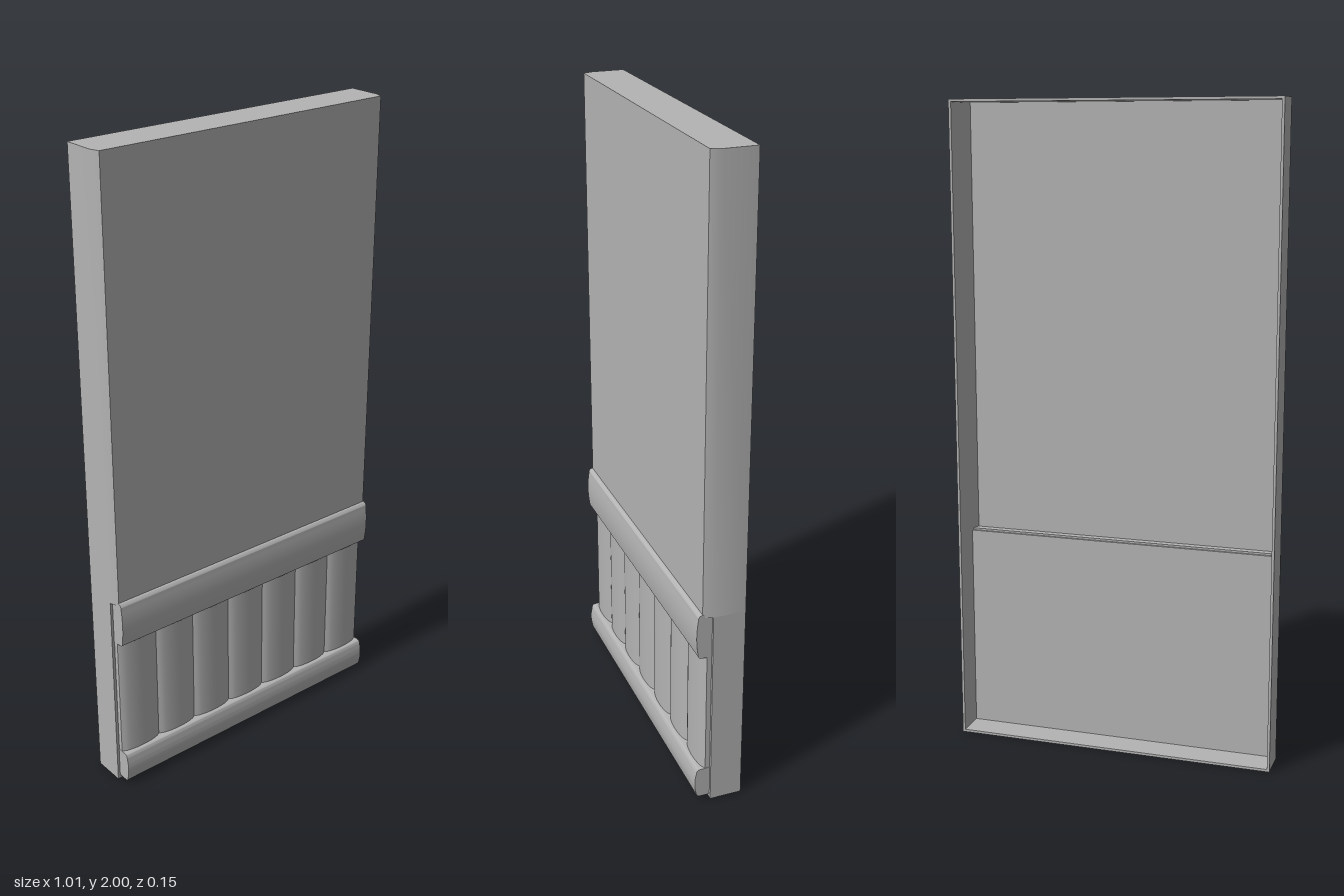
import * as THREE from 'three';
import { toCreasedNormals } from 'three/addons/utils/BufferGeometryUtils.js';

const HALF = 0.505, BACK = -0.075, SHOULDER = 0.025, WALL = 0.008;
const SPLIT = 0.65; // height where the raised upper panel begins

export function createModel() {
  const group = new THREE.Group();
  const grey = new THREE.MeshStandardMaterial({ color: 0xb4b4b4 });
  grey.name = 'plain grey';

  const add = (name, geometry, x = 0, y = 0, z = 0) => {
    const mesh = new THREE.Mesh(geometry, grey);
    mesh.name = name;
    mesh.position.set(x, y, z);
    group.add(mesh);
  };

  // Plan outline given as [x, z], extruded upwards from y0 to y1
  const upright = (points, y0, y1) => {
    const shape = new THREE.Shape(points.map(([x, z]) => new THREE.Vector2(x, -z)));
    const g = new THREE.ExtrudeGeometry(shape, { depth: y1 - y0, bevelEnabled: false });
    return toCreasedNormals(g.rotateX(-Math.PI / 2).translate(0, y0, 0), 0.6);
  };

  // Half of the plan outline, from the back edge to the front face
  const side = (front, inset) => {
    const pts = [[HALF - inset, BACK], [HALF - inset, SHOULDER - inset]];
    if (front > SHOULDER + 0.01) pts.push([HALF - 0.01 - inset, front - inset]);
    return pts;
  };
  const mirrored = (pts) => pts.map(([x, z]) => [-x, z]).reverse();
  const whole = (pts) => [...pts, ...mirrored(pts)];

  // Hollow shells, open at the back
  const shell = (front) => [...whole(side(front, 0)), ...whole(side(front, WALL)).reverse()];
  add('lowerPanel', upright(shell(SHOULDER), 0, SPLIT));
  add('upperPanel', upright(shell(0.055), SPLIT, 2));

  // End walls and the step between the two panel depths
  add('topWall', upright(whole(side(0.055, 0)), 2 - WALL, 2));
  add('bottomWall', upright(whole(side(SHOULDER, 0)), 0, WALL));
  add('panelStep', new THREE.BoxGeometry(0.99, WALL, 0.036), 0, SPLIT, 0.034);

  // Row of vertical boards with gently rounded fronts
  const count = 7, width = 0.992 / count;
  const board = [[-width / 2, SHOULDER - 0.002]];
  for (let i = 0; i <= 12; i++) {
    const t = i / 6 - 1;
    board.push([t * width / 2, 0.036 + 0.018 * Math.sqrt(1 - 0.96 * t * t)]);
  }
  board.push([width / 2, SHOULDER - 0.002]);
  const boardGeometry = upright(board, 0.1, 0.53);
  for (let i = 0; i < count; i++) {
    add('board' + (i + 1), boardGeometry, (i - (count - 1) / 2) * width);
  }

  // Horizontal rails with a softly bowed face and rounded corners
  const rail = (y0, y1) => {
    const s = new THREE.Shape();
    const r = 0.014, z = 0.068, mid = (y0 + y1) / 2;
    s.moveTo(SHOULDER - 0.002, y0);
    s.lineTo(z - r, y0);
    s.quadraticCurveTo(z, y0, z, y0 + r);
    s.quadraticCurveTo(0.078, mid, z, y1 - r);
    s.quadraticCurveTo(z, y1, z - r, y1);
    s.lineTo(SHOULDER - 0.002, y1);
    const g = new THREE.ExtrudeGeometry(s, { depth: 0.994, bevelEnabled: false, curveSegments: 10 });
    return toCreasedNormals(g.translate(0, 0, -0.497).rotateY(-Math.PI / 2), 0.6);
  };
  add('upperRail', rail(0.513, 0.66));
  add('lowerRail', rail(0.013, 0.113));

  return group;
}
